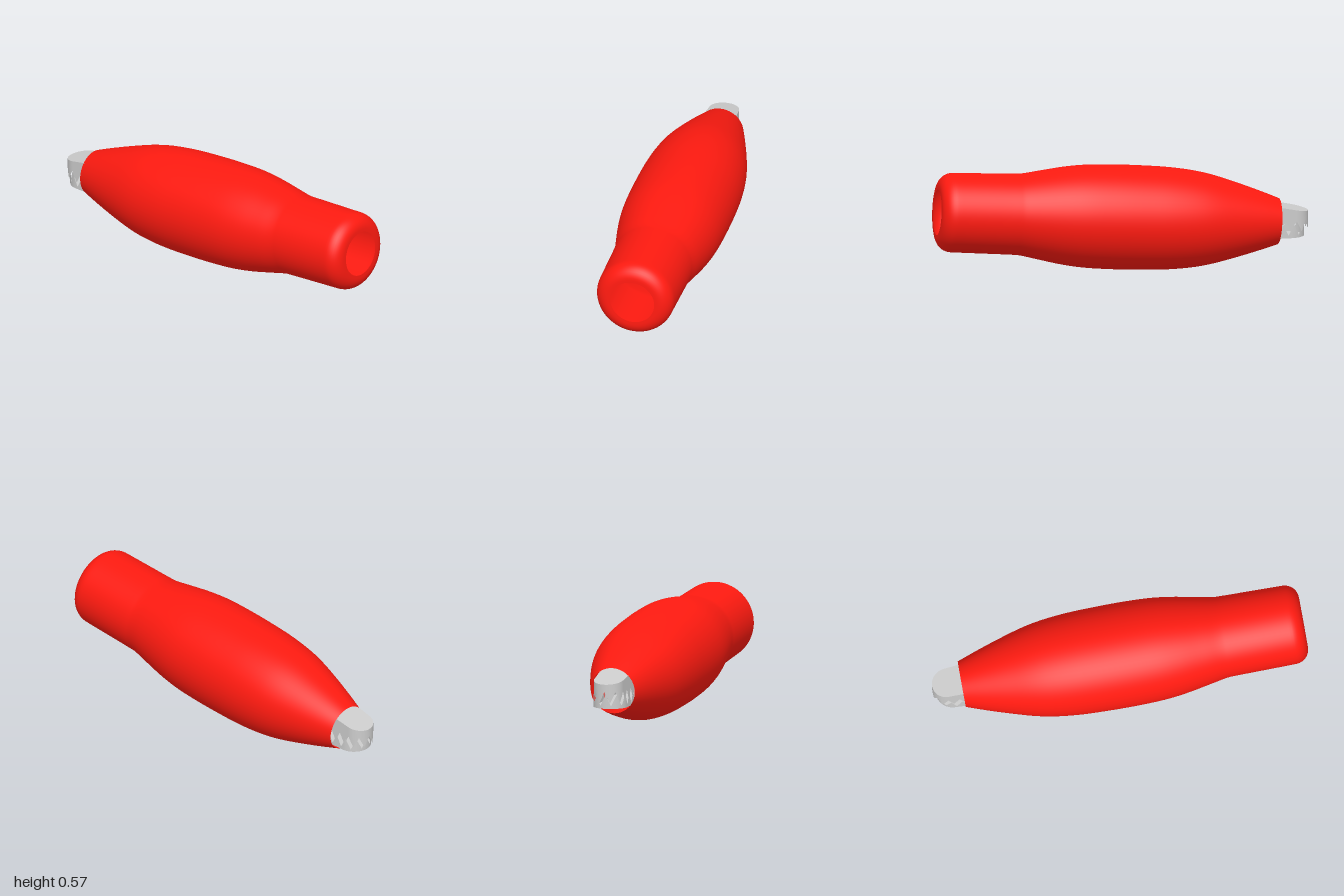
import * as THREE from 'three';

const red = new THREE.MeshStandardMaterial({ color: 0xff1a10, side: THREE.DoubleSide });
const grey = new THREE.MeshStandardMaterial({ color: 0xcccccc, side: THREE.DoubleSide });

function named(name, geometry, material) {
  const mesh = new THREE.Mesh(geometry, material);
  mesh.name = name;
  return mesh;
}

// Surface stretched between two rows of points
function strip(rowA, rowB) {
  const pos = [], index = [];
  rowA.forEach((a, i) => {
    pos.push(...a, ...rowB[i]);
    if (i > 0) {
      const k = 2 * i;
      index.push(k - 2, k - 1, k, k, k - 1, k + 1);
    }
  });
  const g = new THREE.BufferGeometry();
  g.setAttribute('position', new THREE.Float32BufferAttribute(pos, 3));
  g.setIndex(index);
  g.computeVertexNormals();
  return g;
}

// Flexible sleeve: a bulging shell, open at both ends
function makeSleeve() {
  const body = [
    [0.122, -0.842], [0.158, -0.74], [0.2, -0.61], [0.237, -0.48], [0.258, -0.37],
    [0.271, -0.24], [0.276, -0.1], [0.277, 0.05], [0.272, 0.2], [0.258, 0.32],
    [0.234, 0.45], [0.217, 0.54], [0.214, 0.6], [0.212, 0.75], [0.21, 0.91]
  ].map(([r, t]) => new THREE.Vector2(r, t));
  const profile = new THREE.SplineCurve(body).getPoints(70);
  // Rounded front rim, ending at the cable hole
  for (let i = 1; i <= 10; i++) {
    const a = (i / 10) * Math.PI / 2;
    profile.push(new THREE.Vector2(0.135 + 0.075 * Math.cos(a), 0.913 + 0.078 * Math.sin(a)));
  }
  profile.push(new THREE.Vector2(0.12, 0.991));
  const g = new THREE.LatheGeometry(profile, 72);
  g.rotateX(Math.PI / 2);
  const sleeve = named('sleeve', g, red);
  sleeve.position.y = 0.2885;
  sleeve.rotation.set(-0.0664, -0.005, 0);
  return sleeve;
}

// Jaw: round-nosed tapering plate with a toothed wall around its edge
function makeJaw(name, { tip, width, end, plateY, edgeY, flare }) {
  const arc = width * Math.PI / 2;
  const half = 0.03;                       // half the tooth pitch
  const step = half / 4;
  const steps = Math.round((arc + end - tip - width) / step);
  const toothed = 14 * half;

  const plan = (d) => {                    // position along the edge, from the nose
    const s = Math.sign(d), u = Math.abs(d);
    if (u < arc) {
      const a = u / width;
      return [s * width * Math.sin(a), tip + width * (1 - Math.cos(a))];
    }
    return [s * (width + flare * (u - arc)), tip + width + u - arc];
  };
  const zigzag = (d) => {
    const u = Math.min(Math.abs(d), toothed) / half;
    return Math.abs((u % 2) - 1);
  };

  const outer = [], edge = [], left = [], right = [];
  for (let i = -steps; i <= steps; i++) {
    const [x, z] = plan(i * step);
    outer.push([x, plateY(z), z]);
    edge.push([x, edgeY(zigzag(i * step)), z]);
    if (i >= 0) {
      left.push([x, plateY(z), z]);
      right.push([-x, plateY(z), z]);
    }
  }
  const jaw = new THREE.Group();
  jaw.name = name;
  jaw.add(named(name + 'Plate', strip(left, right), grey));
  jaw.add(named(name + 'Teeth', strip(outer, edge), grey));
  return jaw;
}

export function createModel() {
  const model = new THREE.Group();
  model.name = 'insulatedClip';
  model.add(makeSleeve());
  model.add(makeJaw('upperJaw', {
    tip: -1, width: 0.08, end: 0, flare: 0.045,
    plateY: (z) => 0.288 + 0.205 * (z + 1),
    edgeY: (t) => 0.187 + 0.06 * t
  }));
  model.add(makeJaw('lowerJaw', {
    tip: -0.98, width: 0.09, end: -0.2, flare: 0.03,
    plateY: () => 0.156,
    edgeY: (t) => 0.17 + 0.06 * t
  }));
  return model;
}
